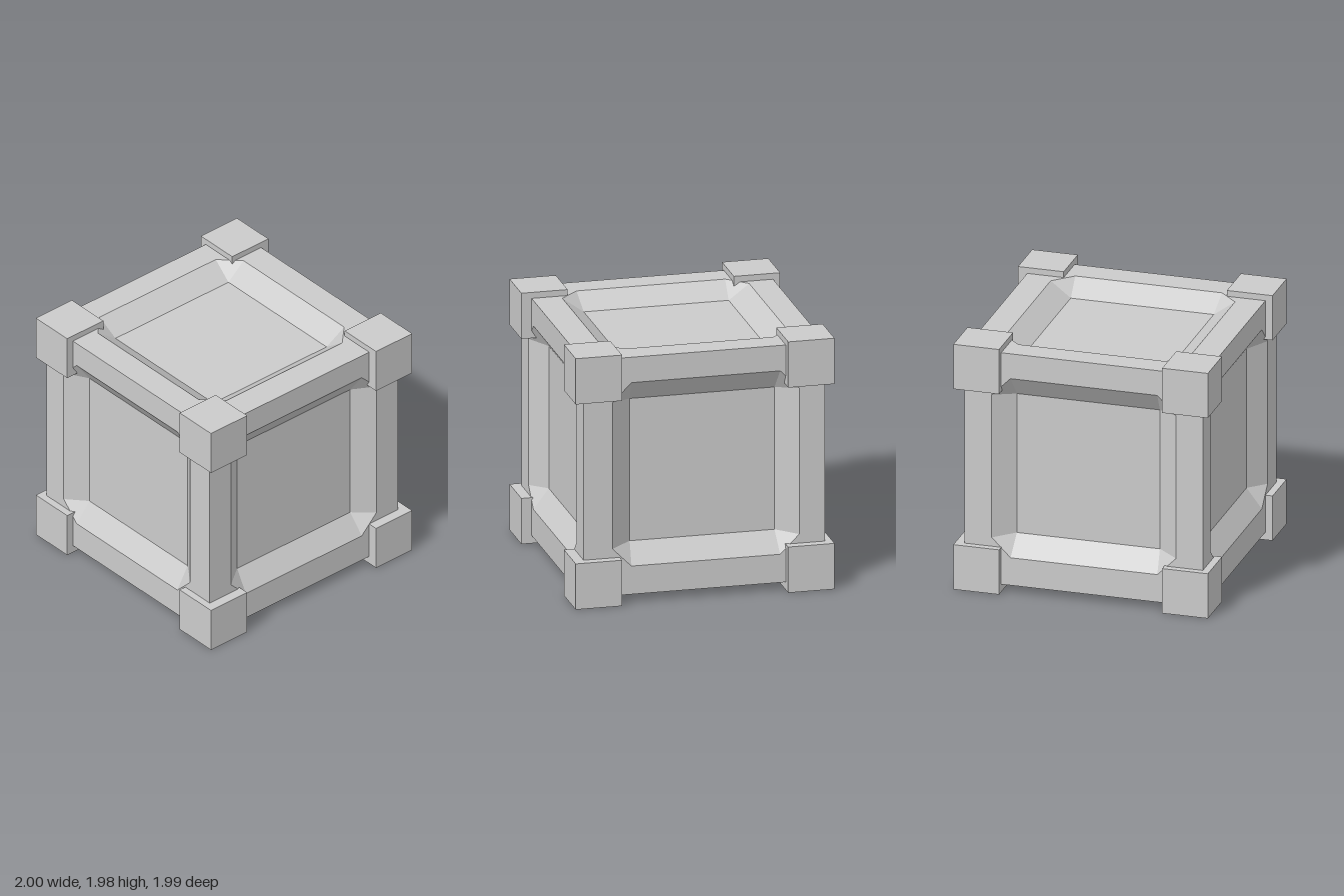
import * as THREE from 'three';

const material = new THREE.MeshStandardMaterial({ color: 0xcccccc, flatShading: true });

const HALF = 0.933;                        // half size of the crate body
const DEPTH = 0.115;                       // recess of each panel
const BODY = [-0.012, 0.995, 0.008];       // body centre
const OPENING = [-0.024, 1.006, 0.009];    // centre of the recessed openings

// Eight points: the pair (p, q), (q, p) turned through four quarter turns.
function ring(p, q) {
  const points = [];
  for (let i = 0, a = [p, q], b = [q, p]; i < 4; i++) {
    points.push(a, b);
    a = [-a[1], a[0]];
    b = [-b[1], b[0]];
  }
  return points;
}

// One side of the crate: flat frame, sloped border with cut corners, sunken panel.
function sideGeometry(axis, sign) {
  let u = (axis + 1) % 3, v = (axis + 2) % 3;
  if (sign < 0) [u, v] = [v, u];
  const place = (centre, depth) => ([a, b]) => {
    const p = [0, 0, 0];
    p[axis] = BODY[axis] + sign * (HALF - depth);
    p[u] = centre[u] + a;
    p[v] = centre[v] + b;
    return new THREE.Vector3(...p);
  };
  const rings = [
    ring(HALF, HALF).map(place(BODY, 0)),
    ring(0.722, 0.575).map(place(OPENING, 0)),
    ring(0.56, 0.56).map(place(OPENING, DEPTH)),
    ring(0, 0).map(place(OPENING, DEPTH)),
  ];
  const points = [];
  const triangle = (a, b, c) => {
    if (new THREE.Triangle(a, b, c).getArea() > 1e-6) points.push(a, b, c);
  };
  for (let r = 0; r < 3; r++) {
    for (let i = 0; i < 8; i++) {
      const j = (i + 1) % 8, outer = rings[r], inner = rings[r + 1];
      triangle(outer[i], outer[j], inner[j]);
      triangle(outer[i], inner[j], inner[i]);
    }
  }
  const geometry = new THREE.BufferGeometry().setFromPoints(points);
  geometry.computeVertexNormals();
  return geometry;
}

export function createModel() {
  const model = new THREE.Group();
  model.name = 'crate';

  // Six recessed sides
  const names = [['rightSide', 'leftSide'], ['bottomSide', 'topSide'], ['backSide', 'frontSide']];
  names.forEach((pair, axis) => pair.forEach((name, i) => {
    const side = new THREE.Mesh(sideGeometry(axis, i ? 1 : -1), material);
    side.name = name;
    model.add(side);
  }));

  // Corner blocks
  const block = new THREE.BoxGeometry(0.358, 0.36, 0.358);
  for (const x of [-0.821, 0.821]) {
    for (const y of [0.18, 1.795]) {
      for (const z of [-0.818, 0.818]) {
        const corner = new THREE.Mesh(block, material);
        corner.name = 'cornerBlock';
        corner.position.set(x, y, z);
        model.add(corner);
      }
    }
  }
  return model;
}
